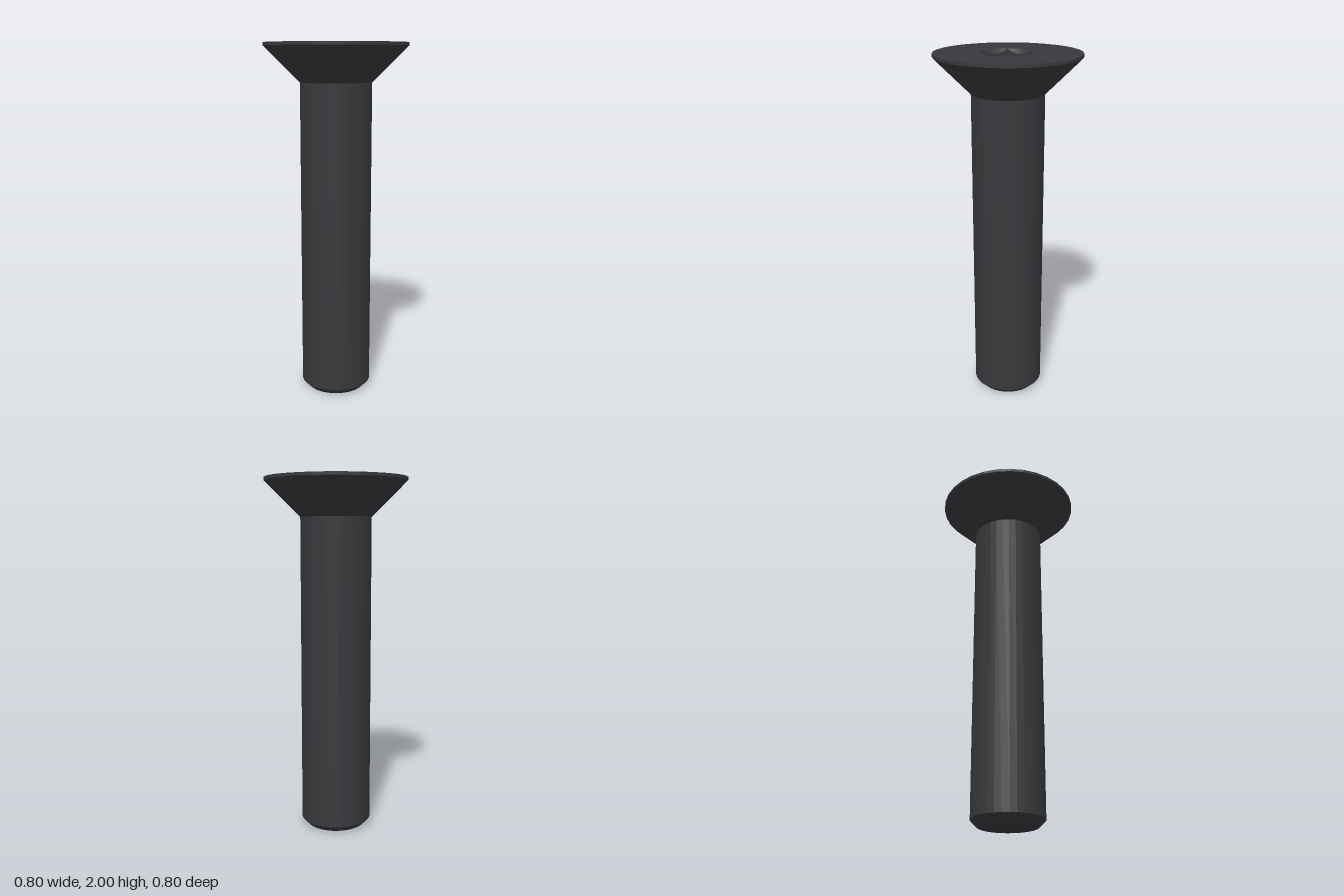
import * as THREE from 'three';

const SIDES = 32;          // facets around the screw
const TOP = 2;             // height of the head face
const HEAD_R = 0.4;
const SOCKET_R = 0.148;    // hexagon corner radius and rim circle
const SOCKET_DEPTH = 0.16;
const STEPS = 48;          // samples around the socket, eight per hexagon side

// Distance from the axis to the hexagon at angle a (corners on the x axis)
function hexRadius(a) {
  const sector = Math.PI / 3;
  return SOCKET_R * Math.cos(sector / 2) / Math.cos((a % sector) - sector / 2);
}

function circlePoints(radius, count) {
  return Array.from({ length: count }, (_, i) => {
    const a = (i / count) * Math.PI * 2;
    return new THREE.Vector2(Math.cos(a) * radius, Math.sin(a) * radius);
  });
}

// Recess: round rim, scalloped chamfer, six walls and flat floor
function socketGeometry() {
  const rings = [
    () => [SOCKET_R, TOP],
    (a) => [hexRadius(a), TOP - (SOCKET_R - hexRadius(a)) * 1.25],
    (a) => [hexRadius(a), TOP - SOCKET_DEPTH],
    () => [0, TOP - SOCKET_DEPTH],
  ];
  const positions = [];
  const index = [];
  rings.forEach((ring, k) => {
    for (let i = 0; i < STEPS; i++) {
      const a = (i / STEPS) * Math.PI * 2;
      const [r, y] = ring(a);
      positions.push(r * Math.cos(a), y, r * Math.sin(a));
      if (k === 0) continue;
      const j = (i + 1) % STEPS;
      const up = (k - 1) * STEPS;
      const low = k * STEPS;
      index.push(up + i, low + i, up + j, up + j, low + i, low + j);
    }
  });
  const geometry = new THREE.BufferGeometry();
  geometry.setAttribute('position', new THREE.Float32BufferAttribute(positions, 3));
  geometry.setIndex(index);
  geometry.computeVertexNormals();
  return geometry;
}

export function createModel() {
  const group = new THREE.Group();
  group.name = 'countersunkScrew';
  const material = new THREE.MeshStandardMaterial({ color: 0x38393c, flatShading: true });

  const add = (name, geometry) => {
    const mesh = new THREE.Mesh(geometry, material);
    mesh.name = name;
    group.add(mesh);
    return mesh;
  };
  const lathe = (profile) =>
    new THREE.LatheGeometry(profile.map(([r, y]) => new THREE.Vector2(r, y)), SIDES);

  // Plain shank with a chamfered tip
  add('shank', lathe([[0, 0], [0.165, 0], [0.2, 0.035], [0.2, 1.785]]));

  // Conical head with a thin straight rim
  add('head', lathe([[0.2, 1.785], [HEAD_R, 1.983], [HEAD_R, TOP]]));

  // Flat head face with a round opening for the socket
  const face = new THREE.Shape(circlePoints(HEAD_R, SIDES));
  face.holes.push(new THREE.Path(circlePoints(SOCKET_R, STEPS)));
  const faceGeometry = new THREE.ShapeGeometry(face);
  faceGeometry.rotateX(-Math.PI / 2);
  add('headFace', faceGeometry).position.y = TOP;

  add('hexSocket', socketGeometry());

  return group;
}
